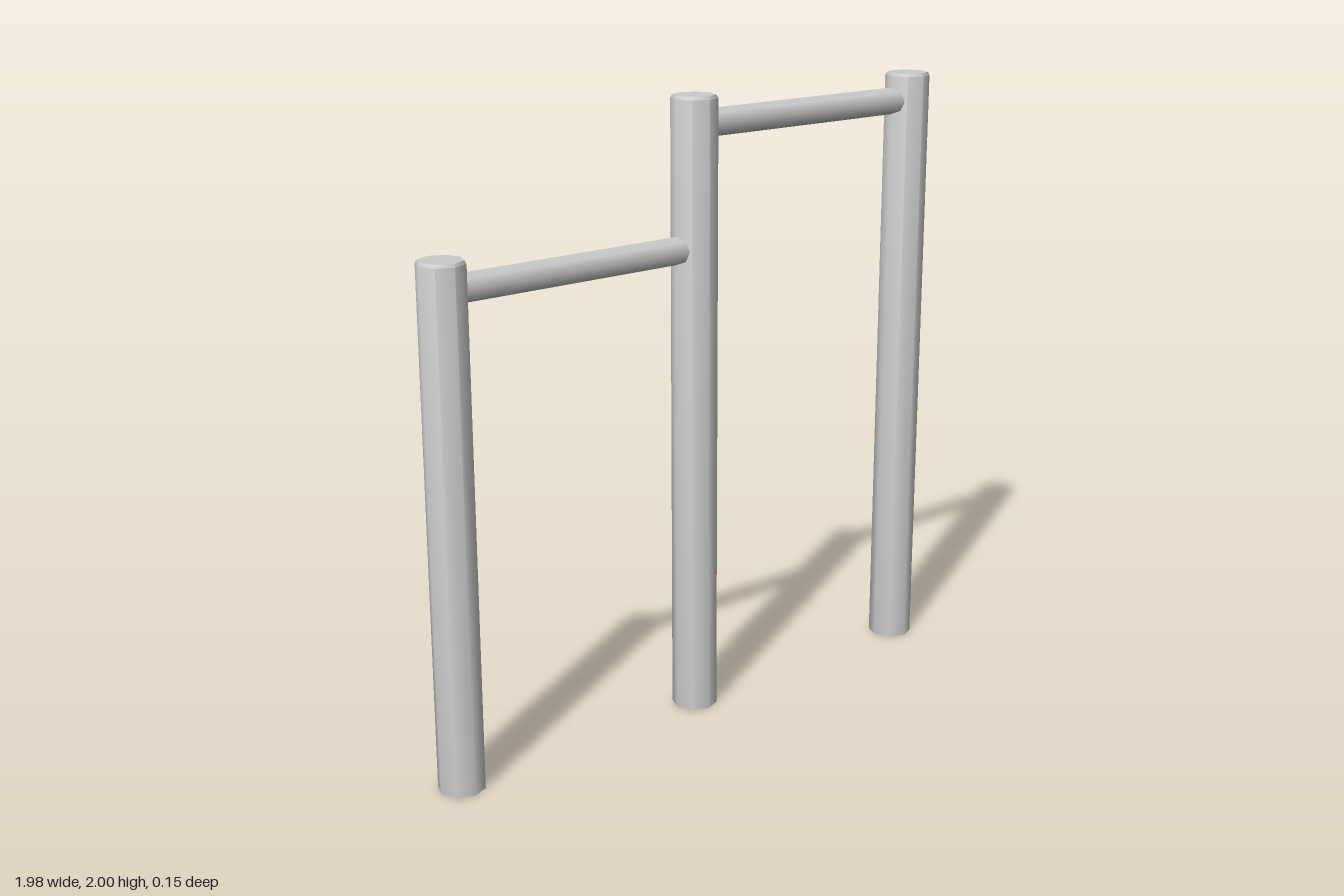
import * as THREE from 'three';
import { toCreasedNormals } from 'three/addons/utils/BufferGeometryUtils.js';

const SIDES = 8;
const POST_RADIUS = 0.073;
const BAR_RADIUS = 0.044;

export function createModel() {
  const model = new THREE.Group();
  model.name = 'pullUpBars';
  const material = new THREE.MeshStandardMaterial({ color: 0xcccccc });

  // Upright post with a flat foot and a slightly eased top edge
  function addPost(name, x, height) {
    const r = POST_RADIUS;
    const profile = [[0, 0], [r, 0], [r, height - 0.01], [r - 0.006, height], [0, height]]
      .map(([px, py]) => new THREE.Vector2(px, py));
    const geometry = toCreasedNormals(new THREE.LatheGeometry(profile, SIDES), THREE.MathUtils.degToRad(50));
    const post = new THREE.Mesh(geometry, material);
    post.name = name;
    post.position.x = x;
    model.add(post);
  }

  // Horizontal bar whose ends sit inside the two posts
  function addBar(name, x0, x1, y) {
    const geometry = new THREE.CylinderGeometry(BAR_RADIUS, BAR_RADIUS, x1 - x0, SIDES);
    const bar = new THREE.Mesh(geometry, material);
    bar.name = name;
    bar.rotation.z = Math.PI / 2;
    bar.position.set((x0 + x1) / 2, y, 0);
    model.add(bar);
  }

  addPost('shortPost', -0.92, 1.62);
  addPost('middlePost', -0.004, 2);
  addPost('tallPost', 0.919, 2);

  addBar('lowBar', -0.9, -0.02, 1.53);
  addBar('highBar', 0.01, 0.9, 1.91);

  return model;
}
